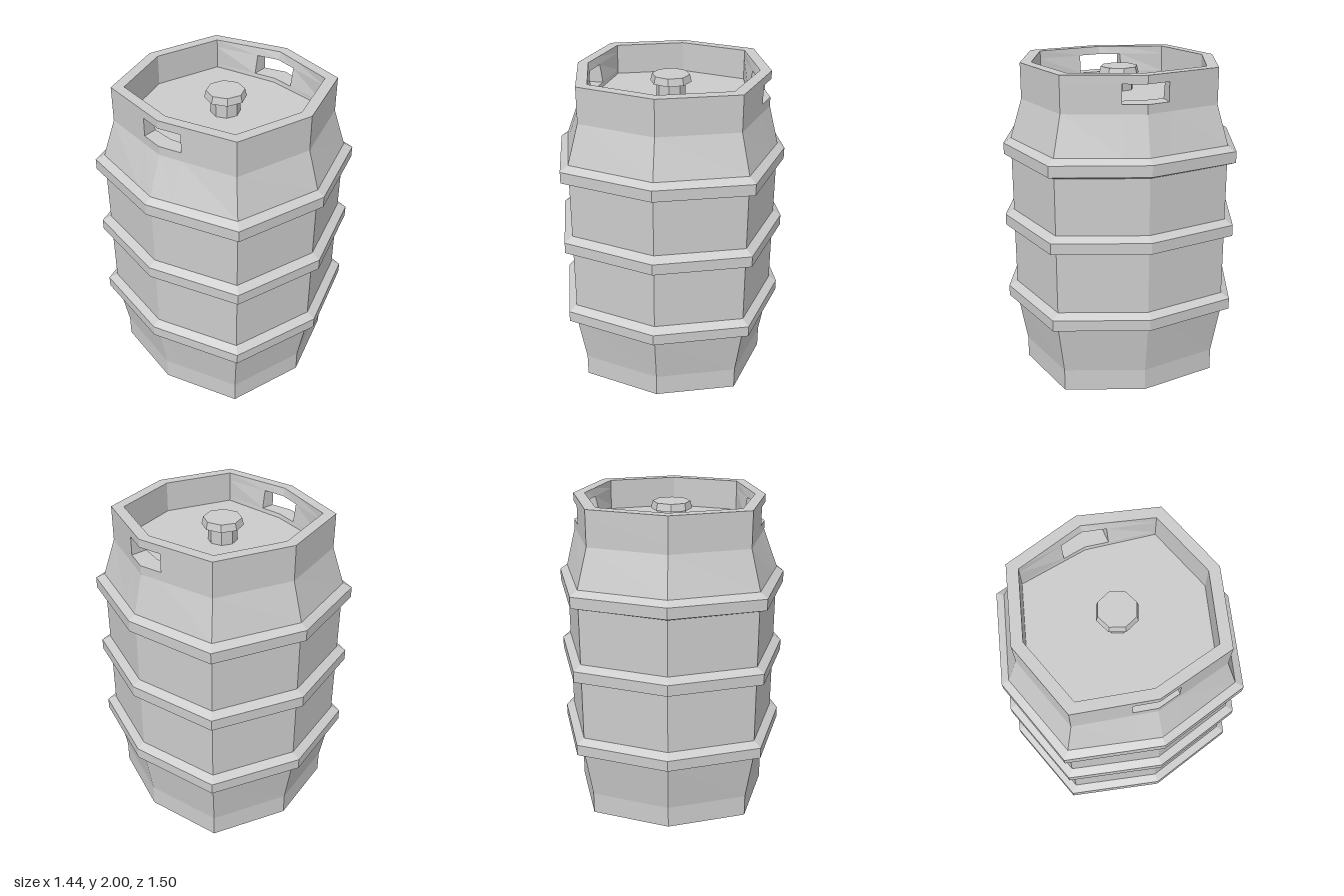
import * as THREE from 'three';

const material = new THREE.MeshStandardMaterial({ color: 0xcccccc, flatShading: true });
const GRIP = 0.14; // half width of the hand holes

// Eight-sided outline at height y, with extra points at the hand hole edges.
// xl / xr / d / z: reach to the left corner, right corner, diagonals and front/back corners.
function outline([y, xl, xr, d, z]) {
  const t = d > 0 ? GRIP / d : 0;
  const gz = d * t, gr = xr + (d - xr) * t, gl = xl + (d - xl) * t;
  return [
    [xr, 0], [gr, gz], [d, d], [0, z], [-d, d], [-gl, gz],
    [-xl, 0], [-gl, -gz], [-d, -d], [0, -z], [d, -d], [gr, -gz],
  ].map(([px, pz]) => new THREE.Vector3(px, y, pz));
}

// Cross-sections from the underside, up the outside and down into the top well
function bodySections() {
  const s = [
    [0.13, 0, 0, 0, 0],
    [0.13, 0.54, 0.54, 0.43, 0.56], // recessed underside
    [0, 0.54, 0.54, 0.43, 0.56],
    [0, 0.62, 0.62, 0.49, 0.64],
    [0.14, 0.62, 0.62, 0.49, 0.64],
  ];
  // three rolling hoops
  for (const [y, x, z] of [[0.45, 0.72, 0.75], [0.95, 0.72, 0.75], [1.42, 0.715, 0.742]]) {
    s.push([y, 0.67, 0.67, 0.53, 0.695], [y + 0.02, x, x, 0.57, z],
      [y + 0.09, x, x, 0.57, z], [y + 0.12, 0.67, 0.67, 0.53, 0.695]);
  }
  s.push([1.78, 0.58, 0.61, 0.475, 0.62]);
  const outer = s.length; // collar, outer side of the hand holes
  for (const y of [1.835, 1.95, 2]) s.push([y, 0.58, 0.61, 0.475, 0.62]);
  s.push([2, 0.515, 0.54, 0.42, 0.55]);
  const inner = s.length; // collar, inner side of the hand holes
  s.push([1.95, 0.505, 0.525, 0.42, 0.55], [1.835, 0.48, 0.49, 0.42, 0.55],
    [1.81, 0.475, 0.485, 0.42, 0.55], [1.81, 0, 0, 0, 0]);
  return { loops: s.map(outline), outer, inner };
}

function bodyGeometry() {
  const { loops, outer, inner } = bodySections();
  const n = loops[0].length, verts = [];
  const tri = (...p) => {
    if (new THREE.Triangle(...p).getArea() > 1e-7) p.forEach((v) => verts.push(v.x, v.y, v.z));
  };
  const quad = (a, b, c, d) => { tri(a, b, c); tri(a, c, d); };
  const holeColumns = [5, 6, 11, 0];

  // Skin, left open at the hand holes
  for (let j = 0; j < loops.length - 1; j++) {
    for (let i = 0; i < n; i++) {
      if ((j === outer || j === inner) && holeColumns.includes(i)) continue;
      const k = (i + 1) % n;
      quad(loops[j][i], loops[j + 1][i], loops[j + 1][k], loops[j][k]);
    }
  }

  // Lining of the hand holes
  const oLo = loops[outer], oHi = loops[outer + 1], iHi = loops[inner], iLo = loops[inner + 1];
  for (const i of holeColumns) {
    const k = (i + 1) % n;
    quad(oLo[i], iLo[i], iLo[k], oLo[k]);
    quad(oHi[i], oHi[k], iHi[k], iHi[i]);
  }
  for (const [a, b] of [[5, 7], [11, 1]]) {
    quad(oLo[a], oHi[a], iHi[a], iLo[a]);
    quad(oLo[b], iLo[b], iHi[b], oHi[b]);
  }

  const g = new THREE.BufferGeometry();
  g.setAttribute('position', new THREE.Float32BufferAttribute(verts, 3));
  g.computeVertexNormals();
  return g;
}

export function createModel() {
  const model = new THREE.Group();
  model.name = 'keg';
  const add = (name, geometry, y = 0) => {
    const mesh = new THREE.Mesh(geometry, material);
    mesh.name = name;
    mesh.position.y = y;
    model.add(mesh);
  };
  add('body', bodyGeometry());
  // Valve in the middle of the top well
  add('valveStem', new THREE.CylinderGeometry(0.09, 0.09, 0.11, 8), 1.86);
  add('valveCap', new THREE.CylinderGeometry(0.117, 0.128, 0.045, 8), 1.9325);
  return model;
}
